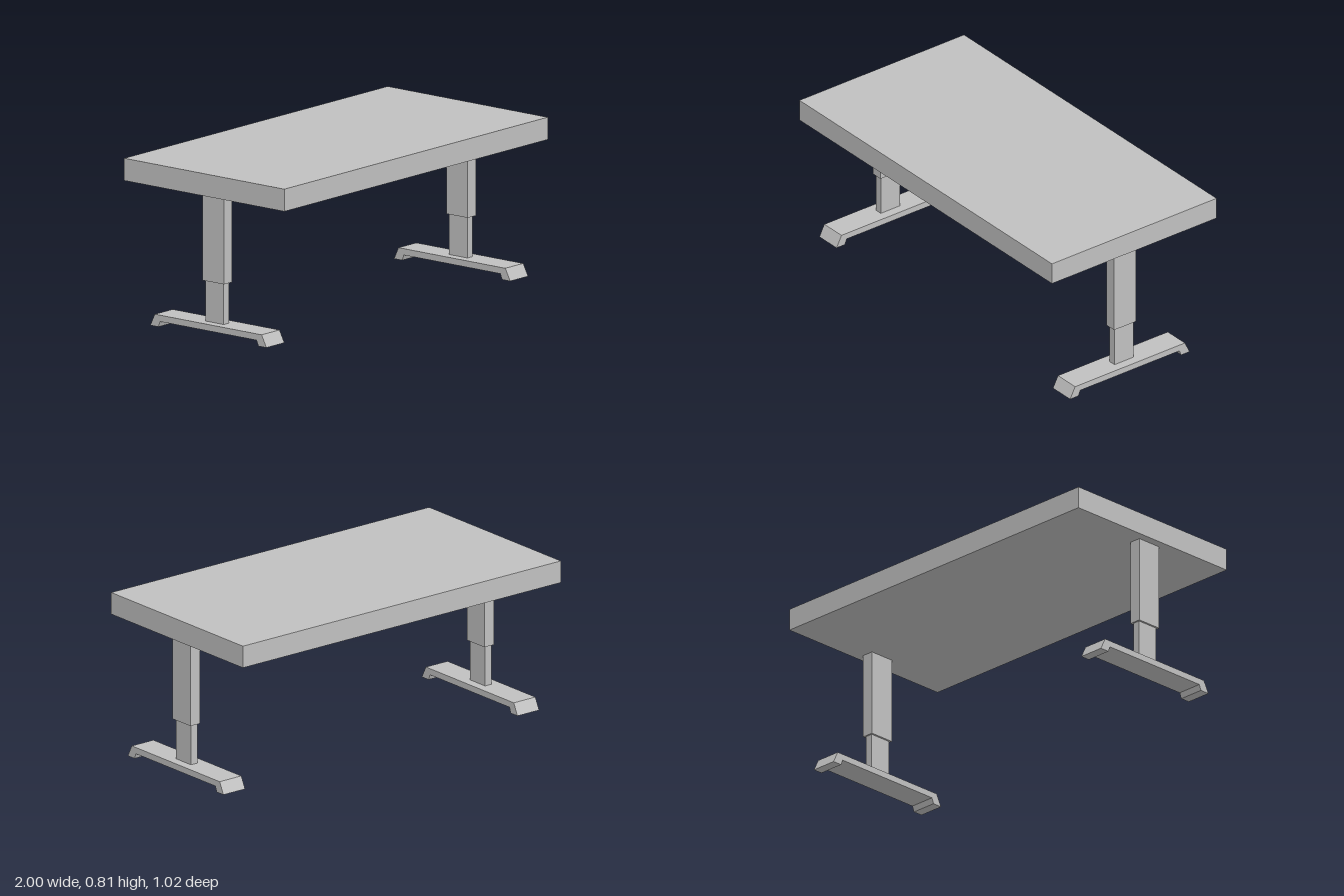
import * as THREE from 'three';

const grey = new THREE.MeshStandardMaterial({ color: 0xc0c0c0 });
grey.name = 'grey';

// Box given by its size, bottom height and centre depth
function box(name, w, d, y0, y1, z) {
  const mesh = new THREE.Mesh(new THREE.BoxGeometry(w, y1 - y0, d), grey);
  mesh.name = name;
  mesh.position.set(0, (y0 + y1) / 2, z);
  return mesh;
}

// Foot: side profile (z, y) extruded across its width
function foot() {
  const width = 0.136;
  const profile = [
    [0.392, 0], [0.361, 0.06], [-0.321, 0.06], [-0.35, 0],
    [-0.298, 0], [-0.287, 0.028], [0.329, 0.028], [0.34, 0],
  ].map(([z, y]) => new THREE.Vector2(z, y));
  const geometry = new THREE.ExtrudeGeometry(new THREE.Shape(profile), { depth: width, bevelEnabled: false });
  geometry.translate(0, 0, -width / 2).rotateY(-Math.PI / 2);
  const mesh = new THREE.Mesh(geometry, grey);
  mesh.name = 'foot';
  return mesh;
}

// Telescopic leg: foot, inner column and outer sleeve
function leg(name, x) {
  const group = new THREE.Group();
  group.name = name;
  group.add(
    foot(),
    box('innerColumn', 0.04, 0.118, 0.06, 0.266, 0.02),
    box('outerSleeve', 0.061, 0.137, 0.265, 0.703, 0.021),
  );
  group.position.x = x;
  return group;
}

export function createModel() {
  const desk = new THREE.Group();
  desk.name = 'desk';
  desk.add(
    box('tabletop', 2, 1.022, 0.703, 0.815, 0),
    leg('leftLeg', 0.924),
    leg('rightLeg', -0.926),
  );
  return desk;
}
